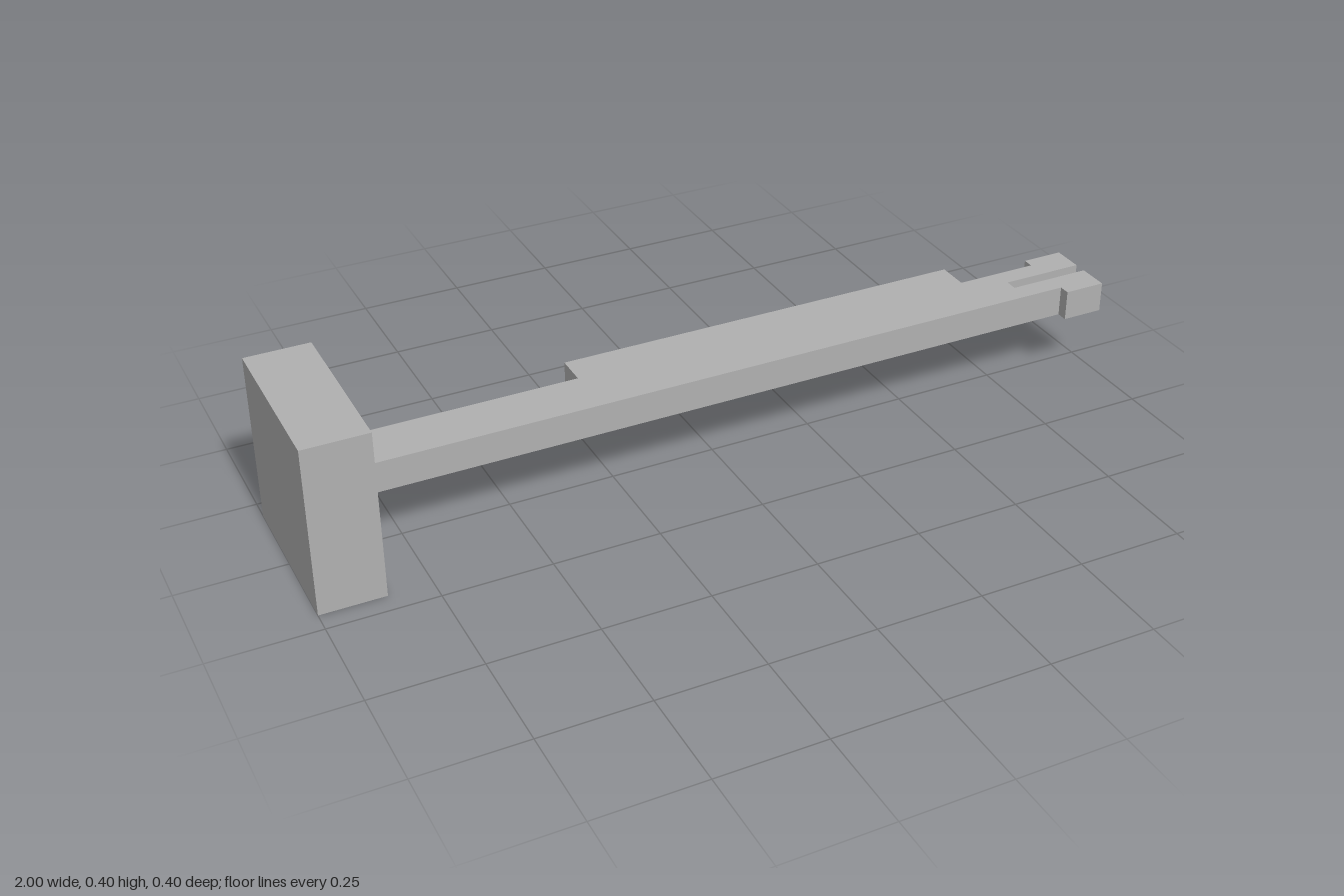
import * as THREE from 'three';

export function createModel() {
  const model = new THREE.Group();
  const grey = new THREE.MeshStandardMaterial({ color: 0xb0b0b0 });
  grey.name = 'plain grey';

  const add = (name, geometry) => {
    const mesh = new THREE.Mesh(geometry, grey);
    mesh.name = name;
    model.add(mesh);
    return mesh;
  };

  // Box given by its lower and upper corners
  const addBox = (name, [x0, y0, z0], [x1, y1, z1]) =>
    add(name, new THREE.BoxGeometry(x1 - x0, y1 - y0, z1 - z0))
      .position.set((x0 + x1) / 2, (y0 + y1) / 2, (z0 + z1) / 2);

  const bottom = 0.164, top = 0.237;
  const half = 0.0635, lug = 0.09, slot = 0.015;

  // Square head block at the right end
  addBox('head', [-1, 0, -0.2], [-0.85, 0.4, 0.2]);

  // Shaft outline seen from above (shape y = -z): side rail, forked tip with lugs
  const outline = new THREE.Shape([
    [-0.85, -half], [0.9, -half], [0.9, -lug], [1, -lug], [1, -slot],
    [0.8, -slot], [0.8, slot], [1, slot], [1, lug], [0.9, lug], [0.9, half],
    [0.7, half], [0.7, 0.14], [-0.3, 0.14], [-0.3, half], [-0.85, half],
  ].map(([x, y]) => new THREE.Vector2(x, y)));
  const shaft = new THREE.ExtrudeGeometry(outline, { depth: top - bottom, bevelEnabled: false });
  shaft.rotateX(-Math.PI / 2);
  add('forkedShaft', shaft).position.y = bottom;

  // Lower part of the rail, hanging below the shaft at the back
  addBox('railKeel', [-0.3, 0.127, -0.14], [0.7, bottom, -0.05]);

  return model;
}
